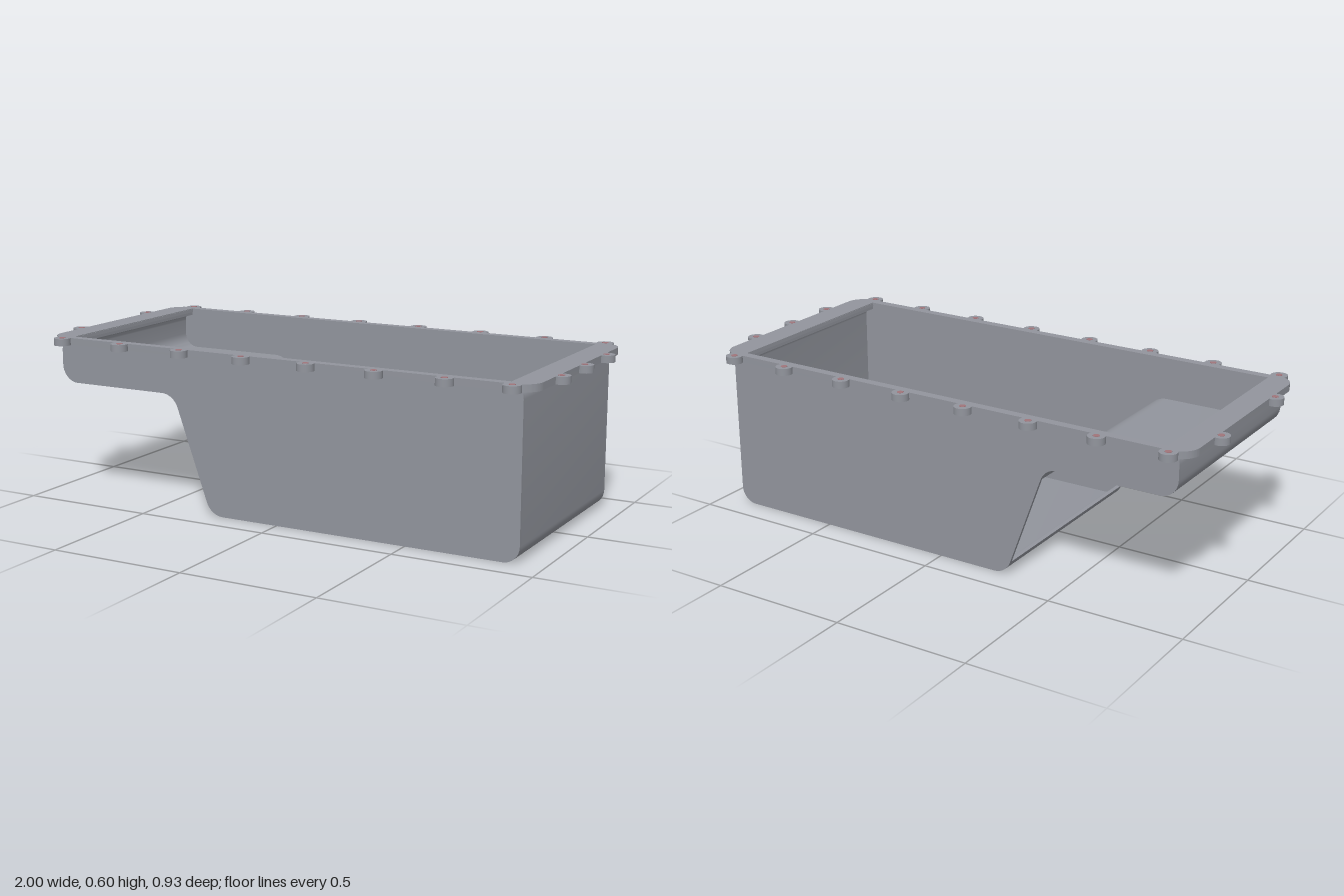
import * as THREE from 'three';
import { toCreasedNormals } from 'three/addons/utils/BufferGeometryUtils.js';

const metal = new THREE.MeshStandardMaterial({ color: 0x92959d });
metal.name = 'grey metal';
const boltRed = new THREE.MeshStandardMaterial({ color: 0xa0747a });
boltRed.name = 'dull red';

const WALL = 0.012, HALF = 0.402, TOP = 0.6, FLANGE = 0.026;

// Side outline corners: x, y, fillet radius (counter-clockwise)
const corners = [
  [-0.915, 0.598, 0.05], [-0.915, 0.43, 0.065], [-0.424, 0.43, 0.07],
  [-0.272, 0.002, 0.07], [0.915, 0.002, 0.06], [0.915, 0.598, 0.05],
];

// Points along the rounded corner number i
function fillet(i, steps = 10) {
  const n = corners.length;
  const at = (k) => new THREE.Vector2(corners[(k + n) % n][0], corners[(k + n) % n][1]);
  const p = at(i), r = corners[i][2];
  const a = at(i - 1).sub(p).normalize(), b = at(i + 1).sub(p).normalize();
  const half = Math.acos(a.dot(b)) / 2;
  const centre = a.clone().add(b).normalize().multiplyScalar(r / Math.sin(half)).add(p);
  const start = p.clone().addScaledVector(a, r / Math.tan(half)).sub(centre);
  const turn = (Math.PI - 2 * half) * (a.x * b.y - a.y * b.x > 0 ? -1 : 1);
  return Array.from({ length: steps + 1 }, (_, k) =>
    start.clone().rotateAround(new THREE.Vector2(), turn * k / steps).add(centre));
}

function extrude(shape, depth) {
  const g = new THREE.ExtrudeGeometry(shape, { depth, bevelEnabled: false, curveSegments: 10 });
  return toCreasedNormals(g, 0.5);
}

// Thickens an open path inward to a closed strip
function strip(path) {
  const inner = path.map((p, i) => {
    const d = path[Math.min(i + 1, path.length - 1)].clone().sub(path[Math.max(i - 1, 0)]).normalize();
    return new THREE.Vector2(p.x - d.y * WALL, p.y + d.x * WALL);
  });
  return new THREE.Shape([...path, ...inner.reverse()]);
}

function roundedRect(x, z, r) {
  const s = new THREE.Shape();
  s.absarc(x - r, z - r, r, 0, Math.PI / 2);
  s.absarc(r - x, z - r, r, Math.PI / 2, Math.PI);
  s.absarc(r - x, r - z, r, Math.PI, Math.PI * 1.5);
  s.absarc(x - r, r - z, r, Math.PI * 1.5, Math.PI * 2);
  s.closePath();
  return s;
}

export function createModel() {
  const group = new THREE.Group();
  const add = (name, geometry, material, x, y, z) => {
    const m = new THREE.Mesh(geometry, material);
    m.name = name;
    m.position.set(x, y, z);
    group.add(m);
    return m;
  };

  const f = corners.map((_, i) => fillet(i));

  // Long side walls
  const side = extrude(new THREE.Shape(f.flat()), WALL);
  add('frontWall', side, metal, 0, 0, HALF - WALL);
  add('backWall', side, metal, 0, 0, -HALF);

  // Shallow and deep troughs, with the slope between them left open
  const depth = 2 * (HALF - WALL);
  const trough = (name, path) => add(name, extrude(strip(path), depth), metal, 0, 0, -depth / 2);
  trough('shallowTrough', [...f[0], ...f[1], ...f[2]]);
  trough('deepTrough', [...f[3], ...f[4], ...f[5]]);

  // Mounting flange
  const rim = roundedRect(0.96, 0.42, 0.07);
  rim.holes.push(new THREE.Path([[-0.868, -0.387], [-0.868, 0.387], [0.866, 0.387], [0.866, -0.387]]
    .map(([x, z]) => new THREE.Vector2(x, z))));
  add('flange', extrude(rim, FLANGE), metal, 0, TOP, 0).rotation.x = Math.PI / 2;

  // Bolt bosses around the flange
  const spots = [];
  for (const x of [-0.89, -0.633, -0.376, -0.119, 0.138, 0.396, 0.653, 0.887]) {
    spots.push([x, 0.433], [x, -0.433]);
  }
  for (const z of [-0.215, 0.215]) spots.push([-0.969, z], [0.969, z]);
  spots.push([0.969, 0]);
  const boss = new THREE.CylinderGeometry(0.031, 0.031, FLANGE, 24);
  const dot = new THREE.CylinderGeometry(0.012, 0.012, 0.002, 16);
  for (const [x, z] of spots) {
    add('boltBoss', boss, metal, x, TOP - FLANGE / 2, z);
    add('boltMark', dot, boltRed, x, TOP, z);
  }
  return group;
}
